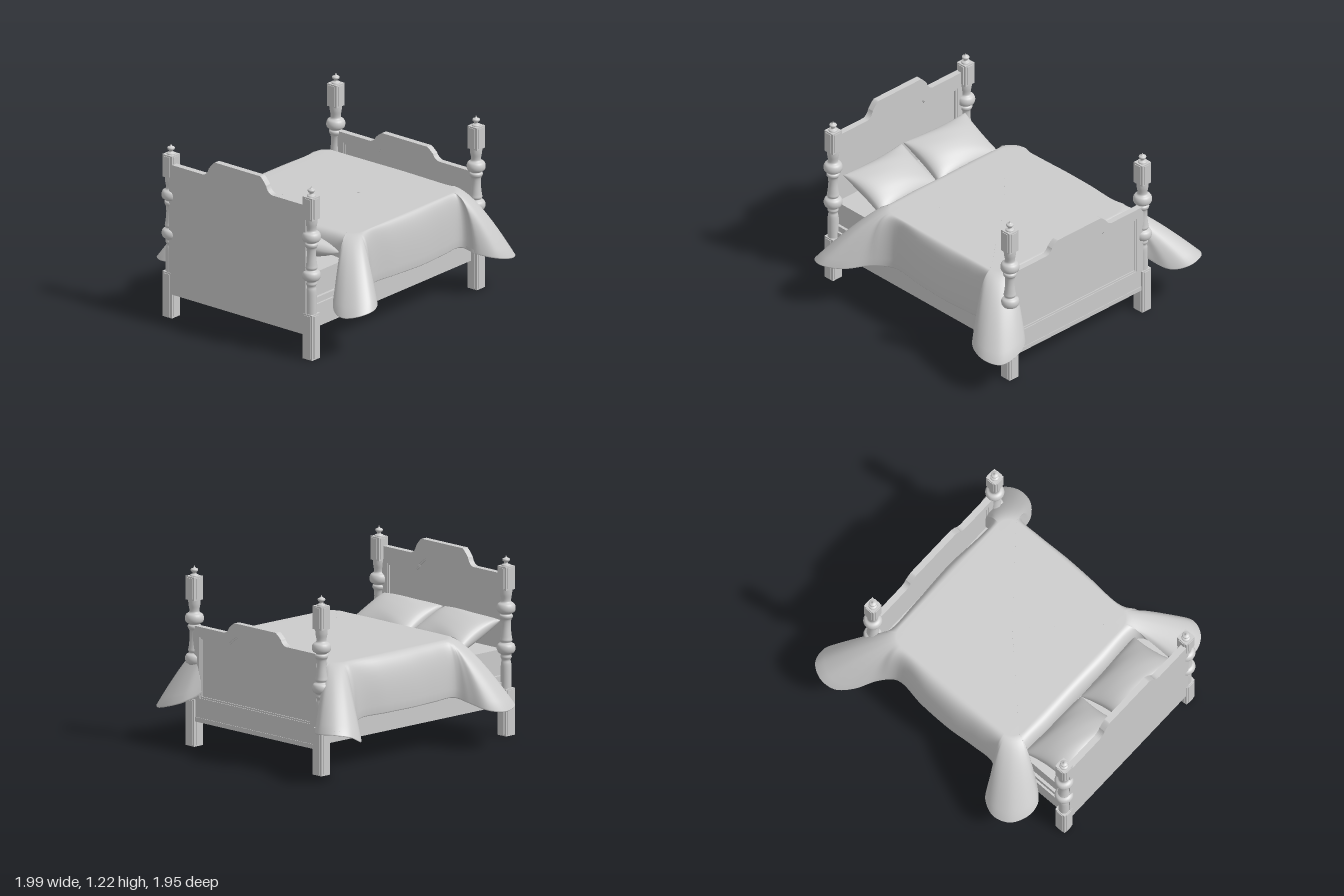
import * as THREE from 'three';
import { mergeVertices } from 'three/addons/utils/BufferGeometryUtils.js';

const MID = 0.025; // centre line of the frame in z
const mat = new THREE.MeshStandardMaterial({ color: 0xcccccc });
const cloth = new THREE.MeshStandardMaterial({ color: 0xcccccc, side: THREE.DoubleSide });

function add(parent, name, geometry, x = 0, y = 0, z = 0, material = mat) {
  const mesh = new THREE.Mesh(geometry, material);
  mesh.name = name;
  mesh.position.set(x, y, z);
  parent.add(mesh);
  return mesh;
}
const box = (w, h, d) => new THREE.BoxGeometry(w, h, d);
const lathe = (pts) => new THREE.LatheGeometry(
  new THREE.SplineCurve(pts.map(([r, y]) => new THREE.Vector2(r, y))).getPoints(pts.length * 4), 24);

// Square leg, turned shaft, square block and finial
function post(x, z) {
  const g = new THREE.Group();
  g.name = 'post';
  g.position.set(x, 0, z);
  for (const [name, y, h] of [['leg', 0.16, 0.32], ['topBlock', 1.07, 0.16]]) {
    add(g, name, box(0.082, h, 0.082), 0, y);
    add(g, name + 'PanelX', box(0.092, h - 0.02, 0.05), 0, y);
    add(g, name + 'PanelZ', box(0.05, h - 0.02, 0.092), 0, y);
  }
  add(g, 'shaft', lathe([[0.036, 0.31], [0.036, 0.4], [0.035, 0.48], [0.03, 0.51], [0.038, 0.53], [0.036, 0.55],
    [0.056, 0.565], [0.063, 0.59], [0.056, 0.615], [0.036, 0.63], [0.042, 0.645], [0.038, 0.67], [0.032, 0.73],
    [0.034, 0.78], [0.044, 0.8], [0.044, 0.815], [0.036, 0.825], [0.058, 0.84], [0.064, 0.865], [0.056, 0.89],
    [0.036, 0.905], [0.034, 0.925], [0.04, 0.96], [0.042, 0.995]]));
  add(g, 'finial', lathe([[0.03, 1.148], [0.028, 1.158], [0.014, 1.165], [0.014, 1.175], [0.024, 1.185],
    [0.024, 1.197], [0.012, 1.203], [0.005, 1.21], [0.003, 1.22]]));
  return g;
}

// Outline with a raised centre and S-curved steps
function boardPath(Type, hw, bottom, side, top, inner, outer) {
  const p = new Type();
  const m = (inner + outer) / 2, h = (side + top) / 2;
  p.moveTo(-hw, bottom);
  p.lineTo(hw, bottom);
  p.lineTo(hw, side);
  p.lineTo(outer, side);
  p.quadraticCurveTo(m + 0.015, side + 0.005, m, h);
  p.quadraticCurveTo(inner + 0.015, top - 0.005, inner, top);
  p.lineTo(-inner, top);
  p.quadraticCurveTo(-inner - 0.015, top - 0.005, -m, h);
  p.quadraticCurveTo(-m - 0.015, side + 0.005, -outer, side);
  p.lineTo(-hw, side);
  p.closePath();
  return p;
}

// Extrudes a z/y outline so that it spans x0..x1
function slab(parent, name, shape, x0, x1) {
  const geo = new THREE.ExtrudeGeometry(shape, { depth: x1 - x0, bevelEnabled: false, curveSegments: 8 });
  geo.rotateY(-Math.PI / 2);
  add(parent, name, geo, x1, 0, MID);
}

// Frame with a recessed panel and a thin moulding round it
function board(name, x0, x1, side, top, panelSide, panelTop, panelX0, panelX1) {
  const g = new THREE.Group();
  g.name = name;
  const inset = (Type, d) => boardPath(Type, 0.527 - d, 0.335 + d, panelSide - d, panelTop - d, 0.16, 0.28);
  const frame = boardPath(THREE.Shape, 0.59, 0.17, side, top, 0.195, 0.3);
  frame.holes.push(inset(THREE.Path, 0));
  slab(g, name + 'Frame', frame, x0, x1);
  slab(g, name + 'Panel', inset(THREE.Shape, 0), panelX0, panelX1);
  const bead = inset(THREE.Shape, 0);
  bead.holes.push(inset(THREE.Path, 0.012));
  slab(g, name + 'Moulding', bead, x0 + 0.005, x1 - 0.006);
  return g;
}

// Hem of the blanket: x, y, z, with a flared lobe at each corner
const HEM = [
  [-0.555, 0.59, 0.25], [-0.55, 0.59, 0], [-0.555, 0.59, -0.3], [-0.56, 0.56, -0.53],
  [-0.69, 0.37, -0.58], [-0.78, 0.32, -0.67], [-0.785, 0.3, -0.78], [-0.72, 0.28, -0.885], [-0.6, 0.27, -0.92],
  [-0.49, 0.29, -0.87], [-0.43, 0.33, -0.76], [-0.38, 0.36, -0.67], [-0.2, 0.36, -0.665], [0, 0.36, -0.68],
  [0.25, 0.36, -0.675], [0.48, 0.35, -0.65], [0.59, 0.31, -0.73], [0.68, 0.28, -0.87], [0.77, 0.29, -0.96],
  [0.88, 0.34, -0.98], [0.975, 0.36, -0.92], [0.995, 0.35, -0.8], [0.93, 0.34, -0.69], [0.81, 0.4, -0.61],
  [0.7, 0.5, -0.51], [0.7, 0.5, -0.25], [0.715, 0.5, 0.1], [0.695, 0.5, 0.5],
  [0.79, 0.38, 0.545], [0.89, 0.32, 0.61], [0.93, 0.28, 0.72], [0.905, 0.25, 0.85], [0.8, 0.27, 0.91],
  [0.68, 0.3, 0.89], [0.595, 0.33, 0.8], [0.56, 0.36, 0.68], [0.38, 0.355, 0.67], [0.15, 0.355, 0.68],
  [-0.1, 0.36, 0.67], [-0.33, 0.36, 0.655], [-0.46, 0.36, 0.75], [-0.57, 0.35, 0.9], [-0.7, 0.35, 0.97],
  [-0.8, 0.33, 0.93], [-0.845, 0.31, 0.83], [-0.81, 0.33, 0.72], [-0.69, 0.42, 0.63], [-0.56, 0.56, 0.56],
].map(([x, y, z]) => new THREE.Vector3(x, y, z));

// Loops run from the middle of the top, over the shoulder, down to a rolled hem
function blanketGeometry() {
  const TOP = 0.73, FLAT = 6, DROP = 14, n = HEM.length * 6;
  const hem = new THREE.CatmullRomCurve3(HEM, true);
  const centre = new THREE.Vector3(0.07, TOP, MID);
  const rows = FLAT + DROP + 4, pos = [], index = [];
  const columns = [];
  for (let j = 0; j < n; j++) {
    const h = hem.getPoint(j / n);
    const c = new THREE.Vector3(THREE.MathUtils.clamp(h.x, -0.37, 0.53), TOP,
      THREE.MathUtils.clamp(h.z, -0.46, 0.51));
    const dir = new THREE.Vector3(h.x - c.x, 0, h.z - c.z);
    const reach = dir.length();
    dir.normalize();
    const s = c.clone().addScaledVector(dir, 0.1);
    const k = s.clone().addScaledVector(dir, Math.min(reach - 0.1, 0.13));
    const col = [];
    for (let i = 0; i < FLAT; i++) col.push(centre.clone().lerp(s, i / FLAT));
    col.push(...new THREE.QuadraticBezierCurve3(s, k, h).getPoints(DROP));
    for (const [inward, down] of [[0.006, -0.008], [0.018, -0.006], [0.022, 0.02]]) {
      col.push(h.clone().addScaledVector(dir, -inward).add(new THREE.Vector3(0, down, 0)));
    }
    columns.push(col);
  }
  for (let i = 0; i < rows; i++) for (let j = 0; j < n; j++) pos.push(...columns[j][i].toArray());
  for (let i = 0; i < rows - 1; i++) {
    for (let j = 0; j < n; j++) {
      const a = i * n + j, b = i * n + (j + 1) % n;
      index.push(a, b, b + n, a, b + n, a + n);
    }
  }
  const geo = new THREE.BufferGeometry();
  geo.setAttribute('position', new THREE.Float32BufferAttribute(pos, 3));
  geo.setIndex(index);
  const merged = mergeVertices(geo, 1e-5);
  merged.computeVertexNormals();
  return merged;
}

// Cushion with pinched corners and drawn-in edges
function pillowGeometry(hx, hy, hz) {
  let geo = new THREE.BoxGeometry(2, 2, 2, 24, 1, 24);
  geo.deleteAttribute('uv');
  geo.deleteAttribute('normal');
  const p = geo.attributes.position;
  for (let i = 0; i < p.count; i++) {
    const u = Math.sin(p.getX(i) * Math.PI / 2), v = Math.sin(p.getZ(i) * Math.PI / 2);
    const puff = Math.pow(Math.max(0, (1 - u * u) * (1 - v * v)), 0.42);
    const crease = 1 + 0.06 * Math.sin(7 * u + 4 * v) * u * u;
    p.setXYZ(i, u * hx * (1 - 0.09 * (1 - v * v)), Math.sign(p.getY(i)) * hy * puff * crease,
      v * hz * (1 - 0.07 * (1 - u * u)));
  }
  geo = mergeVertices(geo, 1e-5);
  geo.computeVertexNormals();
  return geo;
}

export function createModel() {
  const bed = new THREE.Group();
  bed.name = 'bed';

  for (const x of [-0.933, 0.765]) for (const s of [-1, 1]) bed.add(post(x, MID + s * 0.607));

  // Headboard is flat behind, footboard is panelled on both faces
  bed.add(board('headboard', -0.972, -0.928, 1.09, 1.2, 0.98, 1.07, -0.972, -0.947));
  bed.add(board('footboard', 0.75, 0.793, 0.82, 0.9, 0.75, 0.815, 0.762, 0.78));
  add(bed, 'footTrim', box(0.05, 0.03, 1.16), 0.772, 0.187, MID);

  // Side rails, base and mattress
  for (const s of [-1, 1]) {
    add(bed, 'sideRail', box(1.68, 0.16, 0.05), -0.088, 0.28, MID + s * 0.575);
    add(bed, 'railCap', box(1.68, 0.04, 0.035), -0.088, 0.38, MID + s * 0.568);
  }
  add(bed, 'base', box(1.68, 0.2, 1.12), -0.088, 0.302, MID);
  add(bed, 'boxSpring', box(1.6, 0.07, 1.13), -0.12, 0.435, MID);
  add(bed, 'mattress', box(1.6, 0.11, 1.16), -0.125, 0.525, MID);

  // Pillows lean against the headboard
  for (const s of [-1, 1]) {
    const pillow = add(bed, 'pillow', pillowGeometry(0.2, 0.09, 0.275), -0.735, 0.695, MID - 0.02 + s * 0.278);
    pillow.rotation.z = -0.42;
    pillow.rotation.y = s * 0.03;
  }

  add(bed, 'blanket', blanketGeometry(), 0, 0, 0, cloth);
  return bed;
}
